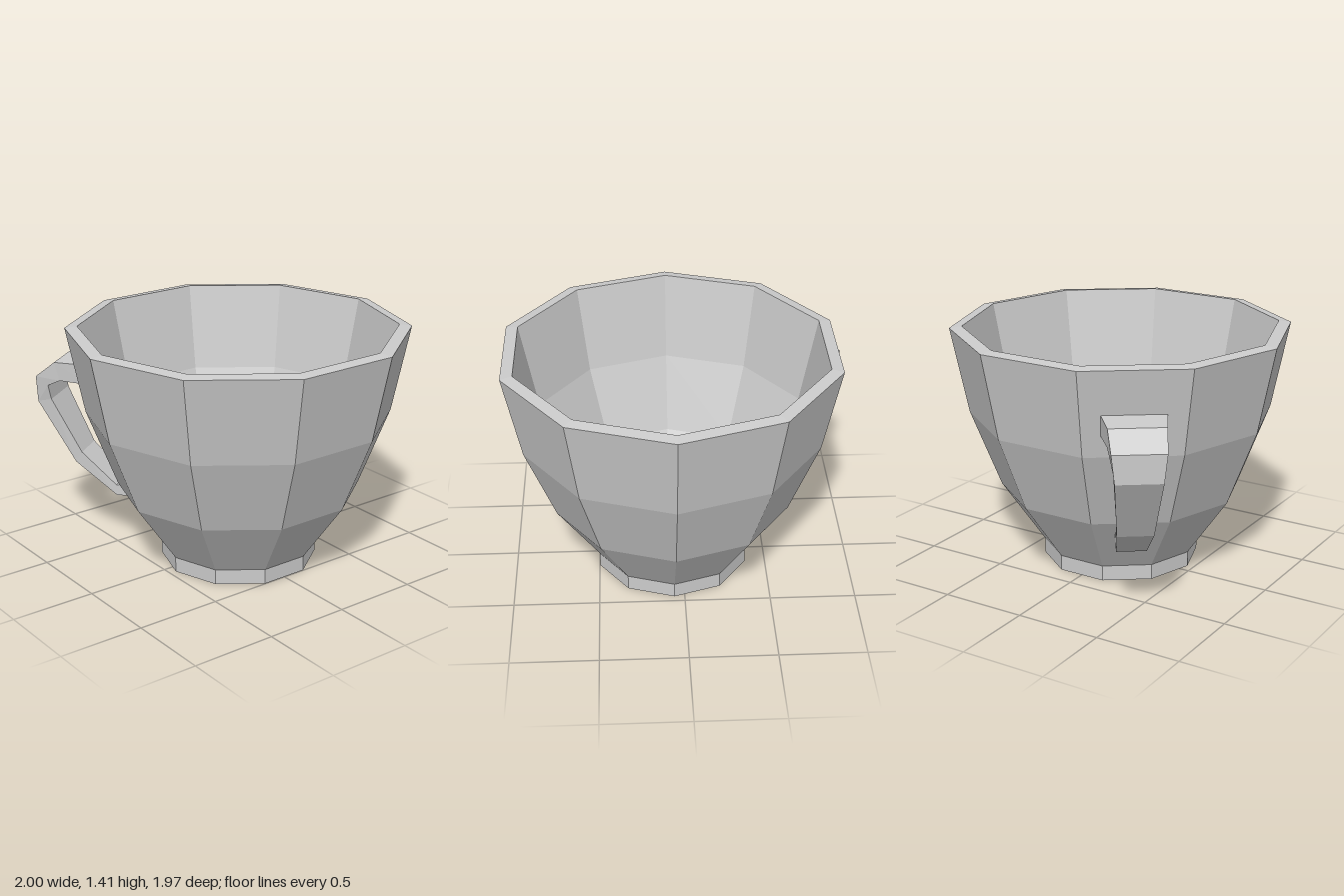
import * as THREE from 'three';

const material = new THREE.MeshStandardMaterial({
  color: 0xcccccc, flatShading: true,
});

// Faceted bowl: foot, outer wall, rim, inner wall and floor in one profile
function makeBowl() {
  const profile = [
    [0, 0], [0.46, 0], [0.46, 0.09], [0.71, 0.45], [0.885, 0.9], [0.987, 1.405],
    [0.915, 1.415], [0.81, 0.91], [0.64, 0.47], [0.39, 0.11], [0.39, 0.07], [0, 0.07],
  ].map(([r, y]) => new THREE.Vector2(r, y));
  const bowl = new THREE.Mesh(new THREE.LatheGeometry(profile, 10), material);
  bowl.name = 'bowl';
  return bowl;
}

// Tapering strap handle, lofted through rectangular sections along local +x
function makeHandle() {
  // outer radius, outer y, inner radius, inner y, width
  const sections = [
    [0.86, 1.15, 0.84, 1.03, 0.36],
    [1.08, 1.14, 1.05, 1.03, 0.31],
    [1.205, 1.04, 1.13, 0.99, 0.29],
    [1.205, 0.88, 1.12, 0.9, 0.255],
    [0.99, 0.505, 0.95, 0.57, 0.2],
    [0.74, 0.31, 0.74, 0.375, 0.17],
    [0.56, 0.315, 0.6, 0.38, 0.16],
  ];
  const positions = [];
  const index = [];
  sections.forEach(([ro, yo, ri, yi, w], i) => {
    const h = w / 2;
    positions.push(ro, yo, -h, ro, yo, h, ri, yi, h, ri, yi, -h);
    if (i === 0) return;
    for (let k = 0; k < 4; k++) {
      const n = (k + 1) % 4;
      const a = (i - 1) * 4, b = i * 4;
      index.push(a + k, a + n, b + n, a + k, b + n, b + k);
    }
  });
  // End caps buried in the wall
  const e = (sections.length - 1) * 4;
  index.push(0, 2, 1, 0, 3, 2, e, e + 1, e + 2, e, e + 2, e + 3);

  const geometry = new THREE.BufferGeometry();
  geometry.setAttribute('position', new THREE.Float32BufferAttribute(positions, 3));
  geometry.setIndex(index);
  const flat = geometry.toNonIndexed();
  flat.computeVertexNormals();
  const handle = new THREE.Mesh(flat, material);
  handle.name = 'handle';
  // Centred on one facet, towards the front and the right-hand side
  handle.rotation.y = Math.PI * 1.2;
  return handle;
}

export function createModel() {
  const cup = new THREE.Group();
  cup.name = 'cup';
  cup.add(makeBowl(), makeHandle());
  cup.position.x = 0.06;

  const model = new THREE.Group();
  model.add(cup);
  return model;
}
